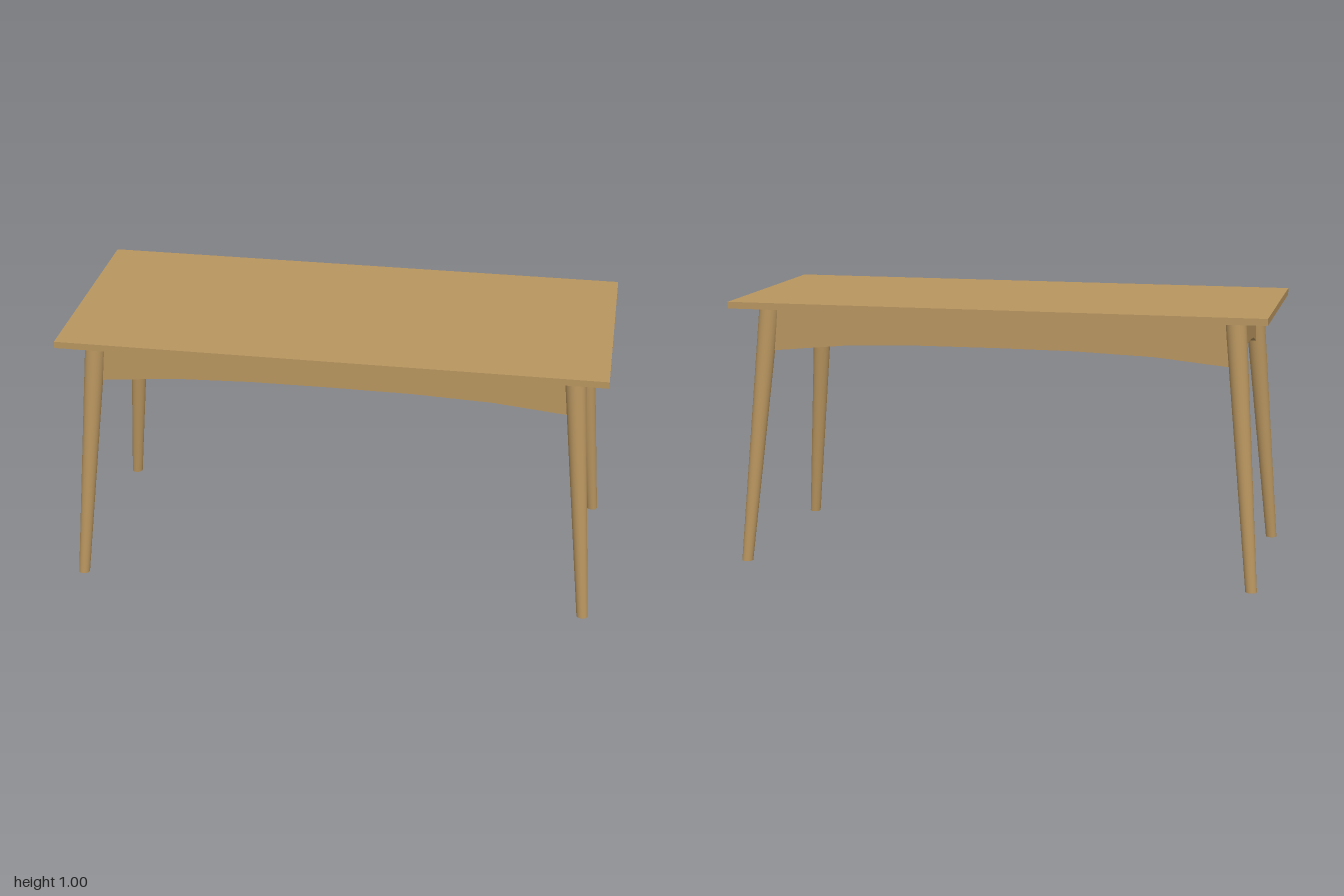
import * as THREE from 'three';

const HEIGHT = 1, TOP_THICKNESS = 0.025;
const UNDERSIDE = HEIGHT - TOP_THICKNESS;

// Splayed, tapered round leg: a cone sheared so both ends stay level
function legGeometry(sx, sz) {
  const g = new THREE.CylinderGeometry(0.038, 0.021, UNDERSIDE, 32);
  g.translate(0, UNDERSIDE / 2, 0);
  const shear = new THREE.Matrix4().set(
    1, -sx * 0.086 / UNDERSIDE, 0, sx * 0.963,
    0, 1, 0, 0,
    0, -sz * 0.08 / UNDERSIDE, 1, sz * 0.4,
    0, 0, 0, 1);
  return g.applyMatrix4(shear);
}

// Apron board with a shallow arch of six straight segments below
function apronGeometry(halfLength, thickness) {
  const shape = new THREE.Shape();
  shape.moveTo(halfLength, UNDERSIDE);
  shape.lineTo(-halfLength, UNDERSIDE);
  for (let i = -3; i <= 3; i++) {
    const t = i / 3;
    shape.lineTo(t * halfLength, 0.846 - 0.041 * Math.abs(t) ** 3);
  }
  shape.closePath();
  const g = new THREE.ExtrudeGeometry(shape, { depth: thickness, bevelEnabled: false });
  return g.translate(0, 0, -thickness / 2);
}

export function createModel() {
  const table = new THREE.Group();
  table.name = 'table';
  const wood = new THREE.MeshStandardMaterial({ color: 0xb8955f });
  wood.name = 'oak wood';

  const add = (name, geometry) => {
    const mesh = new THREE.Mesh(geometry, wood);
    mesh.name = name;
    table.add(mesh);
    return mesh;
  };

  // Table top
  add('tableTop', new THREE.BoxGeometry(2, TOP_THICKNESS, 0.864))
    .position.y = HEIGHT - TOP_THICKNESS / 2;

  // Four legs
  for (const sx of [-1, 1]) {
    for (const sz of [-1, 1]) {
      add((sz > 0 ? 'front' : 'back') + (sx > 0 ? 'Left' : 'Right') + 'Leg', legGeometry(sx, sz));
    }
  }

  // Long aprons front and back, short aprons at the ends
  for (const s of [-1, 1]) {
    add(s > 0 ? 'frontApron' : 'backApron', apronGeometry(0.88, 0.022)).position.z = s * 0.322;
    const end = add(s > 0 ? 'leftApron' : 'rightApron', apronGeometry(0.312, 0.022));
    end.rotation.y = Math.PI / 2;
    end.position.x = s * 0.88;
  }

  return table;
}
